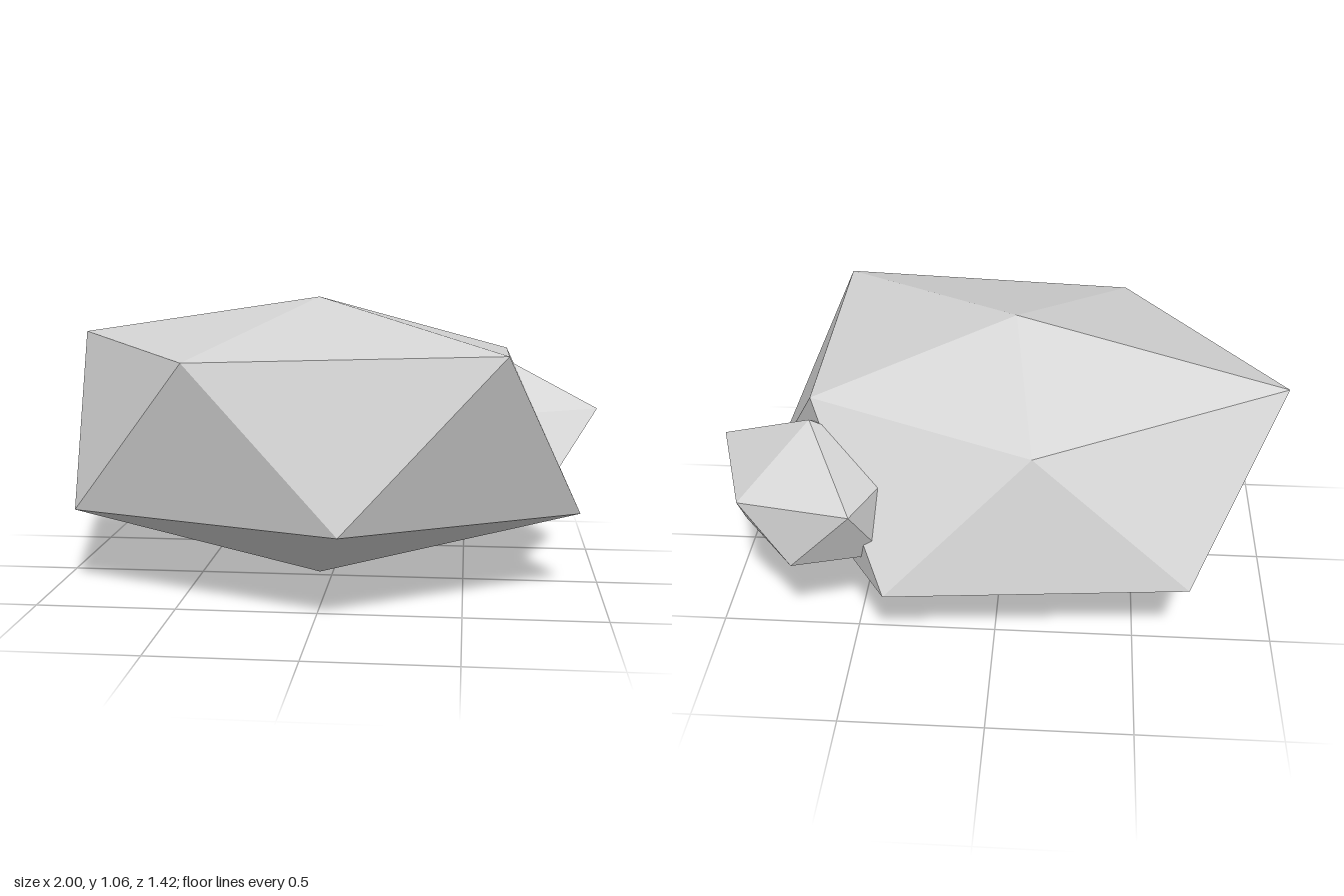
import * as THREE from 'three';

// Faceted boulder: two poles joined by an upper and a lower ring of five corners
function stone(name, material, top, bottom, upper, lower) {
  const pos = [];
  const n = upper.length;
  for (let i = 0; i < n; i++) {
    const j = (i + 1) % n;
    pos.push(...top, ...upper[j], ...upper[i]);         // cap
    pos.push(...upper[i], ...upper[j], ...lower[i]);    // side, pointing down
    pos.push(...lower[i], ...upper[j], ...lower[j]);    // side, pointing up
    pos.push(...bottom, ...lower[i], ...lower[j]);      // underside
  }
  // Unshared corners give each facet its own flat normal
  const geometry = new THREE.BufferGeometry();
  geometry.setAttribute('position', new THREE.Float32BufferAttribute(pos, 3));
  geometry.computeVertexNormals();
  const mesh = new THREE.Mesh(geometry, material);
  mesh.name = name;
  return mesh;
}

export function createModel() {
  const group = new THREE.Group();
  group.name = 'rocks';
  const stoneGrey = new THREE.MeshStandardMaterial({ color: 0xd3d3d3 });
  stoneGrey.name = 'stoneGrey';

  // Large rock
  group.add(stone('largeRock', stoneGrey, [-0.05, 1.06, -0.045], [-0.05, 0, -0.045],
    [[0.64, 0.91, 0.585], [-0.45, 0.875, 0.575], [-1, 0.905, -0.24], [-0.13, 0.795, -0.565], [0.655, 0.85, -0.305]],
    [[0.09, 0.32, 0.71], [-0.92, 0.295, 0.265], [-0.68, 0.32, -0.63], [0.37, 0.31, -0.715], [0.92, 0.295, 0.145]]));

  // Small rock embedded in the back left corner
  group.add(stone('smallRock', stoneGrey, [0.65, 0.8, -0.37], [0.655, 0.19, -0.37],
    [[1, 0.63, -0.205], [0.63, 0.615, -0.1], [0.32, 0.62, -0.31], [0.47, 0.63, -0.705], [0.87, 0.605, -0.605]],
    [[0.82, 0.37, -0.05], [0.45, 0.39, -0.13], [0.38, 0.37, -0.55], [0.69, 0.39, -0.665], [0.9, 0.405, -0.415]]));
  return group;
}
